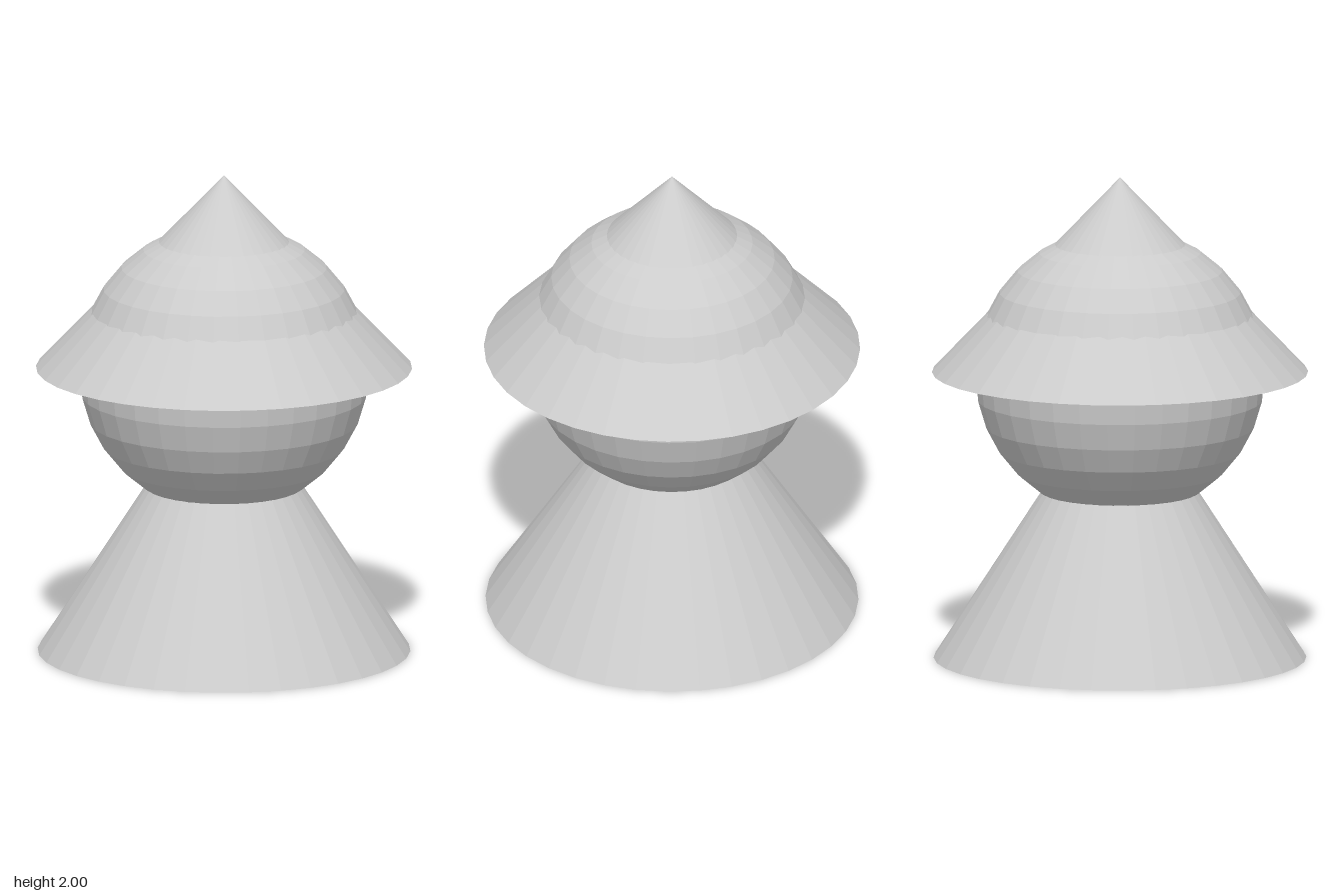
import * as THREE from 'three';

export function createModel() {
  const group = new THREE.Group();
  const material = new THREE.MeshStandardMaterial({ color: 0xcccccc, flatShading: true });
  const headY = 1.19;

  const addPart = (name, geometry, y) => {
    const mesh = new THREE.Mesh(geometry, material);
    mesh.name = name;
    mesh.position.y = y;
    group.add(mesh);
  };

  // Body: a closed cone whose tip ends at the centre of the head
  addPart('body', new THREE.ConeGeometry(0.765, headY, 36), headY / 2);

  // Head: a faceted ball
  addPart('head', new THREE.SphereGeometry(0.596, 32, 16), headY);

  // Hat: a wide closed cone from the middle of the head, which bulges through it
  const hatHeight = 2 - headY;
  addPart('hat', new THREE.ConeGeometry(0.772, hatHeight, 36), headY + hatHeight / 2);

  return group;
}
